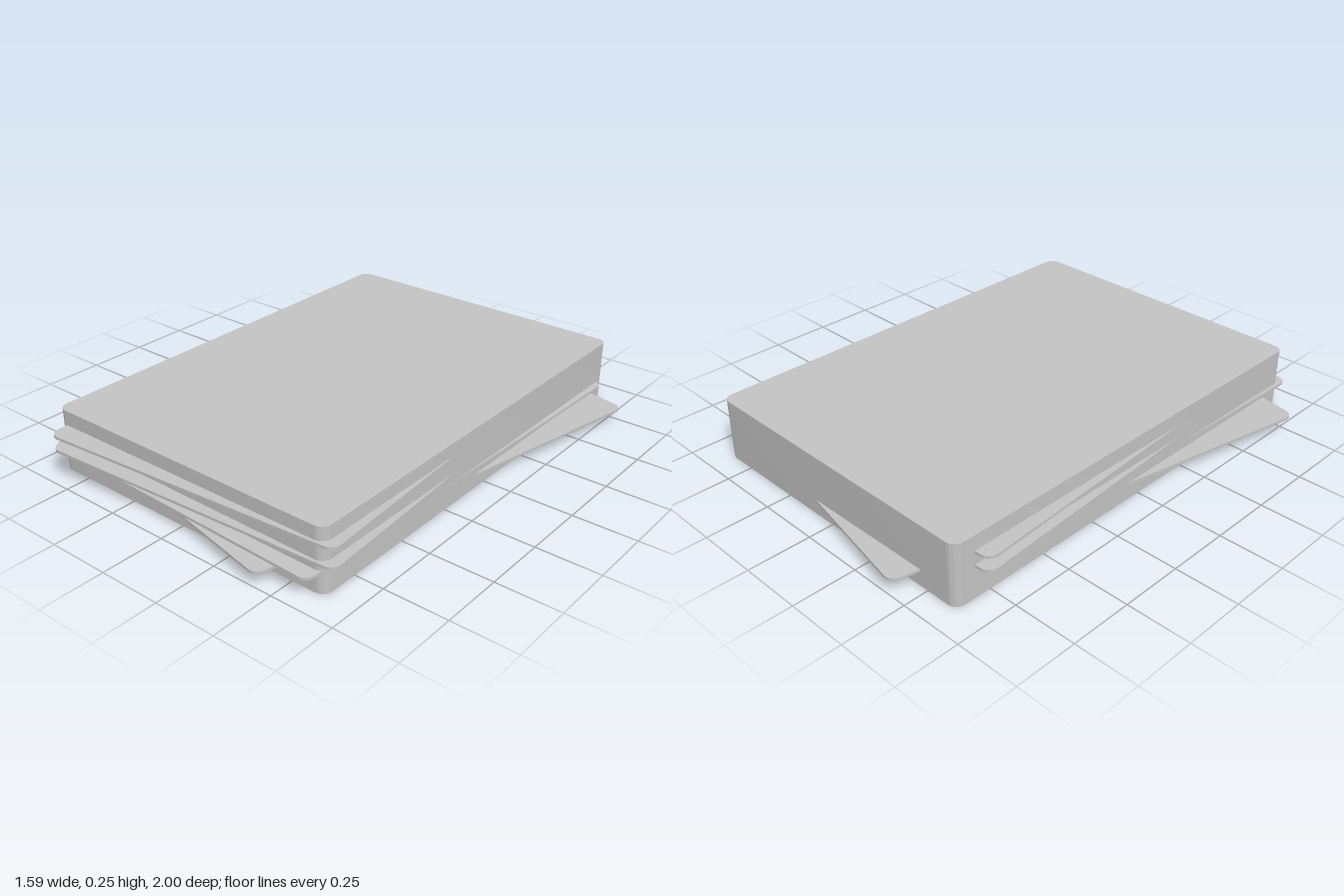
import * as THREE from 'three';
import { toCreasedNormals } from 'three/addons/utils/BufferGeometryUtils.js';

const WIDTH = 1.27, LENGTH = 1.8, RADIUS = 0.04;
const DECK_HEIGHT = 0.25, CARD_THICKNESS = 0.01;

// Rounded rectangle lying flat, extruded upwards and centred on its own origin
function roundedSlab(height) {
  const x = WIDTH / 2, y = LENGTH / 2, r = RADIUS;
  const shape = new THREE.Shape();
  shape.absarc(x - r, y - r, r, 0, Math.PI / 2);
  shape.absarc(-x + r, y - r, r, Math.PI / 2, Math.PI);
  shape.absarc(-x + r, -y + r, r, Math.PI, Math.PI * 1.5);
  shape.absarc(x - r, -y + r, r, Math.PI * 1.5, Math.PI * 2);
  const geometry = new THREE.ExtrudeGeometry(shape, { depth: height, bevelEnabled: false, curveSegments: 6 });
  geometry.translate(0, 0, -height / 2).rotateX(-Math.PI / 2);
  return toCreasedNormals(geometry, Math.PI / 5);
}

export function createModel() {
  const model = new THREE.Group();
  model.name = 'cardDeck';

  const cardGrey = new THREE.MeshStandardMaterial({ color: 0xc4c4c4 });
  cardGrey.name = 'cardGrey';

  // Squared-up stack
  const deck = new THREE.Mesh(roundedSlab(DECK_HEIGHT), cardGrey);
  deck.name = 'deck';
  deck.position.y = DECK_HEIGHT / 2;
  model.add(deck);

  // Loose cards poking out: twist about the vertical, then a slight sideways tilt
  const looseCards = [
    { name: 'bottomLooseCard', at: [0, 0.059, 0], twist: -0.2, tilt: -0.011 },
    { name: 'lowerLooseCard', at: [0.005, 0.09, 0.045], twist: -0.026, tilt: -0.012 },
    { name: 'middleLooseCard', at: [-0.01, 0.125, 0.047], twist: 0.062, tilt: -0.008 },
    { name: 'topLooseCard', at: [-0.01, 0.189, 0.047], twist: 0.062, tilt: 0.006 },
  ];
  const cardGeometry = roundedSlab(CARD_THICKNESS);
  for (const { name, at, twist, tilt } of looseCards) {
    const card = new THREE.Mesh(cardGeometry, cardGrey);
    card.name = name;
    card.position.set(...at);
    card.rotation.set(0, twist, tilt, 'ZYX');
    model.add(card);
  }

  return model;
}
